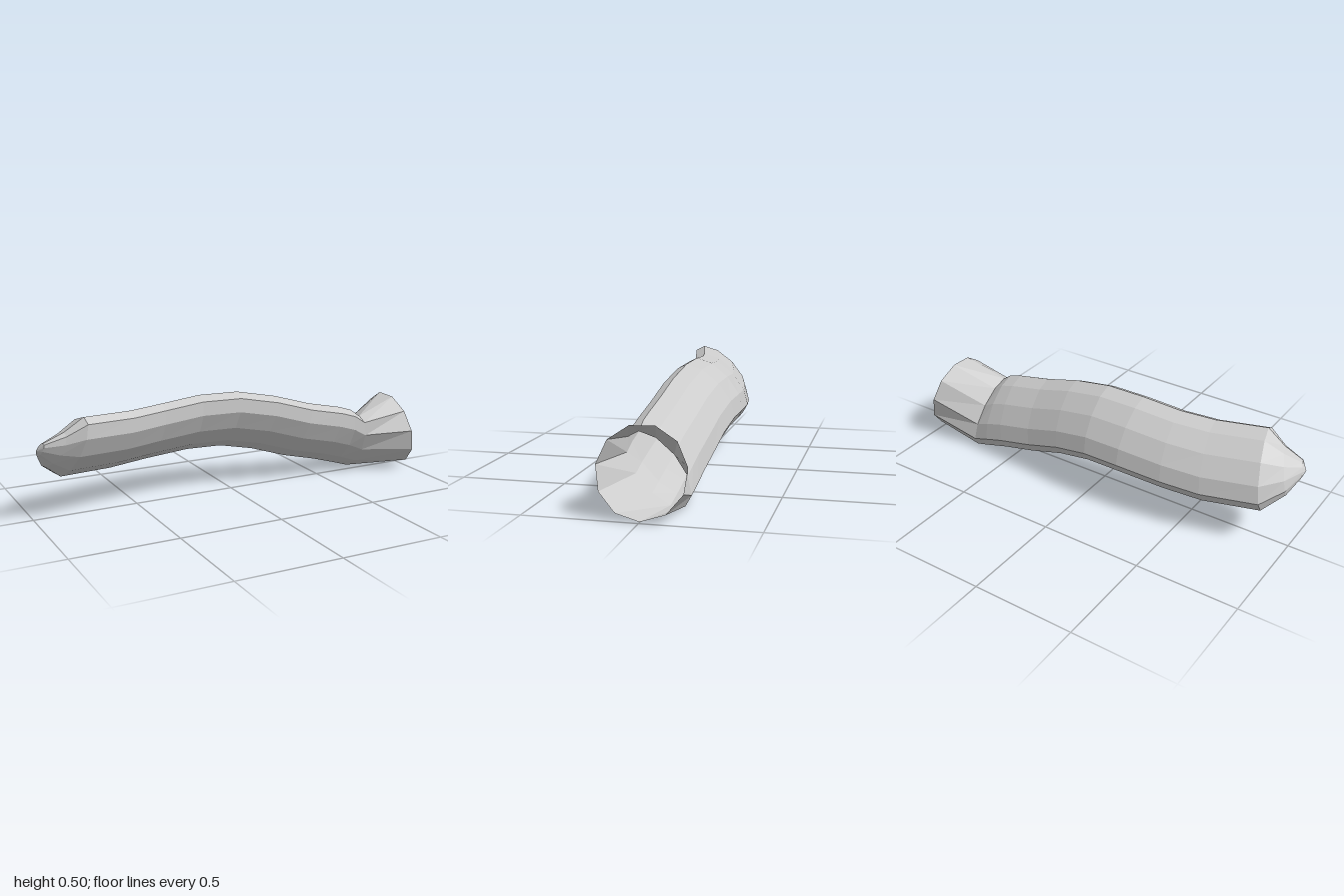
import * as THREE from 'three';

const SIDES = 11;
const angle = (j) => (j / SIDES) * Math.PI * 2;

// Slanted oval cross-section; lean shifts its top along x, leanZ its +z side
function ovalRing([x, lean, leanZ, yTop, yBottom, zMin, zMax]) {
  const cy = (yTop + yBottom) / 2, hy = (yTop - yBottom) / 2;
  const cz = (zMin + zMax) / 2, hz = (zMax - zMin) / 2;
  return Array.from({ length: SIDES }, (_, j) => {
    const c = Math.cos(angle(j)), s = Math.cos(angle(j) - 0.9);
    return [x + lean * c + leanZ * s, cy + hy * c, cz + hz * s];
  });
}

// Round mouth of the flare, tilted so that its lower edge reaches furthest
function rimRing() {
  return Array.from({ length: SIDES }, (_, j) => {
    const a = angle(j) + 0.31, c = Math.cos(a);
    return [0.958 - 0.042 * c, 0.206 + 0.19 * c, 0.193 * Math.sin(a)];
  });
}

// Skin a list of rings running towards +x, optionally closed by a tip point
function skin(name, rings, tip) {
  const points = rings.flat();
  const index = [];
  for (let i = 0; i < rings.length - 1; i++) {
    for (let j = 0; j < SIDES; j++) {
      const a = i * SIDES + j, b = i * SIDES + ((j + 1) % SIDES);
      index.push(a, b, a + SIDES, b, b + SIDES, a + SIDES);
    }
  }
  if (tip) {
    points.push(tip);
    for (let j = 0; j < SIDES; j++) index.push(points.length - 1, (j + 1) % SIDES, j);
  }
  const geometry = new THREE.BufferGeometry();
  geometry.setAttribute('position', new THREE.Float32BufferAttribute(points.flat(), 3));
  geometry.setIndex(index);
  geometry.computeVertexNormals();
  const material = new THREE.MeshStandardMaterial({
    color: 0xcccccc, flatShading: true, side: THREE.DoubleSide,
  });
  const mesh = new THREE.Mesh(geometry, material);
  mesh.name = name;
  return mesh;
}

export function createModel() {
  const group = new THREE.Group();
  group.name = 'curvedTube';

  // x, lean, leanZ, yTop, yBottom, zMin, zMax
  const bodyRings = [
    [-0.982, 0.004, 0.008, 0.398, 0.335, 0.08, 0.137],
    [-0.915, 0.02, 0.025, 0.437, 0.262, 0.0, 0.16],
    [-0.83, 0.025, 0.025, 0.497, 0.19, -0.09, 0.192],
    [-0.58, 0.02, 0.015, 0.486, 0.178, -0.153, 0.138],
    [-0.4, 0.01, 0.01, 0.494, 0.189, -0.18, 0.108],
    [-0.19, 0, 0, 0.511, 0.202, -0.195, 0.096],
    [0.0, 0.01, 0, 0.507, 0.198, -0.19, 0.1],
    [0.185, 0.025, 0, 0.467, 0.164, -0.177, 0.115],
    [0.37, 0.025, 0, 0.412, 0.105, -0.165, 0.126],
    [0.55, 0.025, 0, 0.374, 0.062, -0.16, 0.13],
    [0.64, 0.005, 0, 0.352, 0.03, -0.157, 0.135],
    [0.71, -0.015, 0, 0.315, 0.003, -0.15, 0.14],
  ].map(ovalRing);
  group.add(skin('body', bodyRings, [-1, 0.362, 0.107]));

  // Open flare growing out of the end of the body
  group.add(skin('flaredMouth', [bodyRings.at(-1), rimRing()]));
  return group;
}
